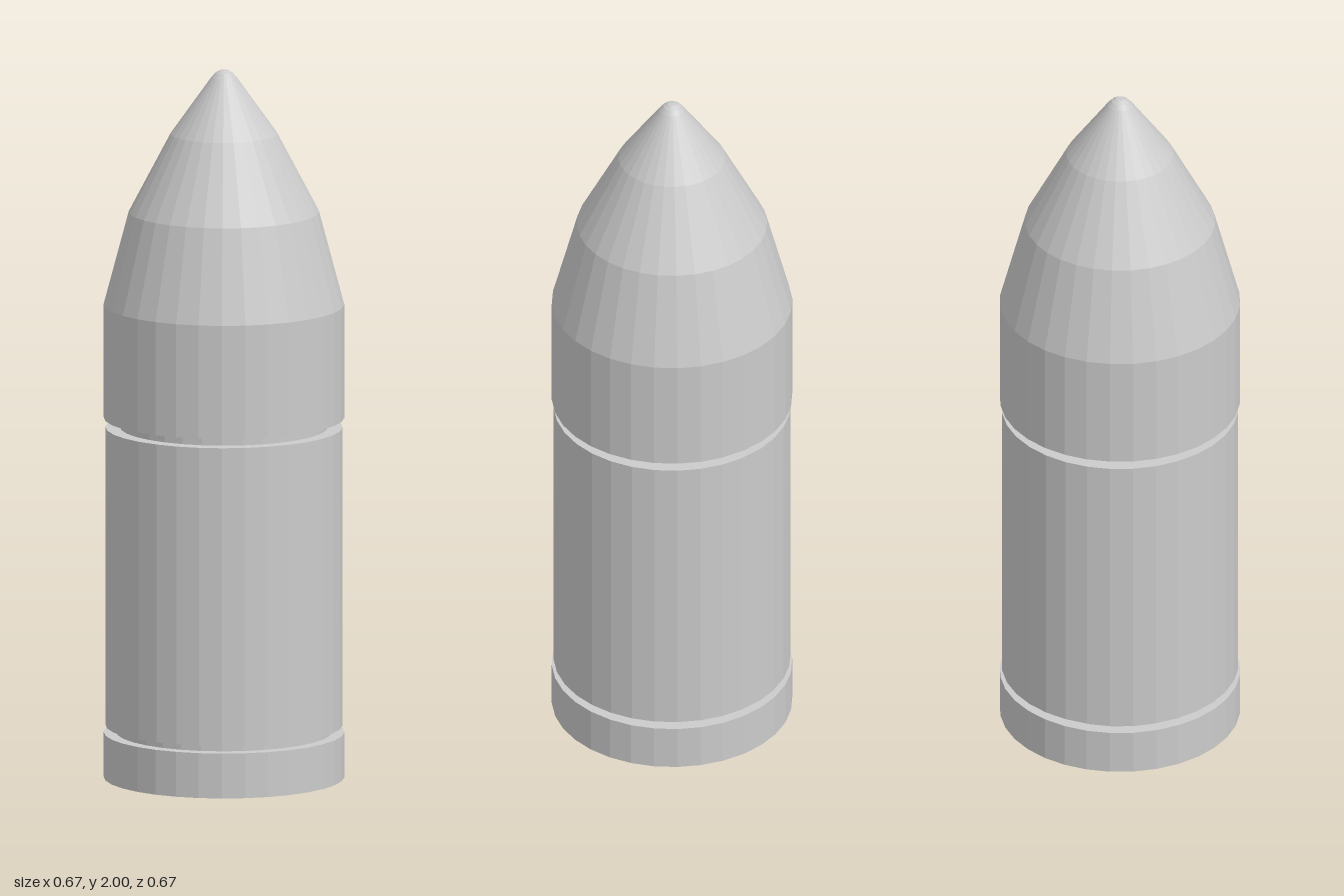
import * as THREE from 'three';

const SIDES = 32;

export function createModel() {
  const model = new THREE.Group();
  model.name = 'roundNosedCartridge';
  const material = new THREE.MeshStandardMaterial({ color: 0xcccccc, flatShading: true });

  // Turn a [radius, height] profile, listed from bottom to top, around the y axis.
  const turn = (name, profile) => {
    const points = profile.map(([r, y]) => new THREE.Vector2(r, y));
    const mesh = new THREE.Mesh(new THREE.LatheGeometry(points, SIDES), material);
    mesh.name = name;
    model.add(mesh);
  };

  // Base rim with a shallow recess underneath
  turn('baseRim', [[0, 0.03], [0.28, 0.03], [0.287, 0], [0.335, 0], [0.335, 0.127], [0.3, 0.127]]);

  // Narrow groove above the rim
  turn('lowerGroove', [[0.3, 0.127], [0.3, 0.147]]);

  // Long straight casing
  turn('casing', [[0.3, 0.147], [0.33, 0.147], [0.33, 0.99], [0.29, 0.99]]);

  // Narrow groove below the nose
  turn('upperGroove', [[0.29, 0.99], [0.29, 1.017]]);

  // Nose: straight collar, then a tapering ogive with a small blunt tip
  turn('nose', [
    [0.29, 1.017], [0.335, 1.017], [0.335, 1.337], [0.265, 1.6],
    [0.149, 1.82], [0.035, 1.98], [0.024, 1.992], [0.012, 1.999], [0, 2],
  ]);

  return model;
}
